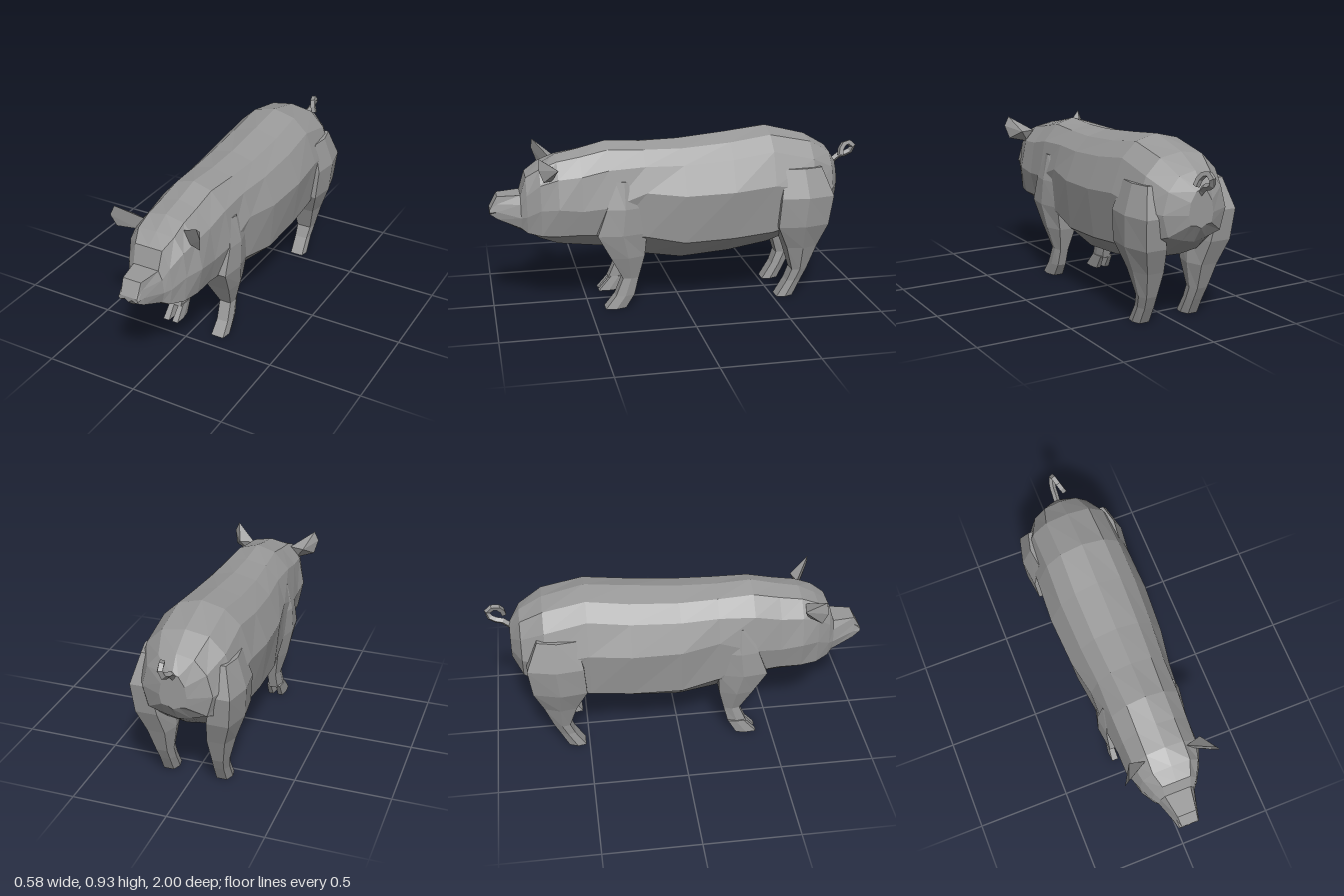
import * as THREE from 'three';
import { ConvexGeometry } from 'three/addons/geometries/ConvexGeometry.js';

const skin = new THREE.MeshStandardMaterial({ color: 0x999999, flatShading: true });
skin.name = 'grey skin';

// Skin over cross-sections; each ring runs clockwise seen from the first ring's side.
function loft(rings) {
  const n = rings[0].length;
  const index = [];
  for (let i = 0; i < rings.length - 1; i++) {
    for (let j = 0; j < n; j++) {
      const a = i * n + j, b = i * n + (j + 1) % n;
      index.push(a, b, a + n, b, b + n, a + n);
    }
  }
  const last = (rings.length - 1) * n;
  for (let j = 1; j < n - 1; j++) {
    index.push(0, j + 1, j, last, last + j, last + j + 1);
  }
  const geo = new THREE.BufferGeometry();
  geo.setAttribute('position', new THREE.Float32BufferAttribute(rings.flat(2), 3));
  geo.setIndex(index);
  const flat = geo.toNonIndexed();
  flat.computeVertexNormals();
  return flat;
}

function add(parent, name, geo) {
  const mesh = new THREE.Mesh(geo, skin);
  mesh.name = name;
  parent.add(mesh);
  return mesh;
}

// Half sections: z, top y, then x,y of back, flank, side and lower edge, then bottom y
const headSections = [
  [1.0, 0.55, 0.04, 0.55, 0.05, 0.545, 0.055, 0.535, 0.045, 0.525, 0.52],
  [0.96, 0.62, 0.05, 0.62, 0.056, 0.58, 0.065, 0.54, 0.06, 0.5, 0.485],
  [0.84, 0.625, 0.07, 0.625, 0.09, 0.58, 0.1, 0.51, 0.085, 0.45, 0.42],
  [0.81, 0.72, 0.075, 0.72, 0.115, 0.63, 0.125, 0.52, 0.11, 0.43, 0.405],
  [0.74, 0.77, 0.1, 0.765, 0.15, 0.69, 0.165, 0.56, 0.15, 0.42, 0.37],
  [0.65, 0.82, 0.1, 0.8, 0.17, 0.72, 0.2, 0.57, 0.17, 0.42, 0.34],
];
const bodySections = [
  [0.53, 0.845, 0.1, 0.82, 0.175, 0.73, 0.2, 0.555, 0.17, 0.42, 0.325],
  [0.39, 0.88, 0.1, 0.85, 0.18, 0.76, 0.215, 0.57, 0.18, 0.41, 0.31],
  [0.2, 0.87, 0.11, 0.845, 0.18, 0.77, 0.22, 0.64, 0.21, 0.4, 0.26],
  [0, 0.875, 0.12, 0.845, 0.195, 0.77, 0.255, 0.62, 0.23, 0.36, 0.23],
  [-0.26, 0.9, 0.125, 0.865, 0.205, 0.79, 0.27, 0.63, 0.235, 0.37, 0.25],
  [-0.48, 0.925, 0.12, 0.895, 0.2, 0.82, 0.26, 0.65, 0.23, 0.39, 0.285],
  [-0.7, 0.87, 0.12, 0.85, 0.2, 0.77, 0.25, 0.62, 0.22, 0.45, 0.36],
  [-0.82, 0.8, 0.09, 0.78, 0.15, 0.71, 0.18, 0.6, 0.15, 0.49, 0.45],
  [-0.875, 0.72, 0.03, 0.71, 0.06, 0.66, 0.07, 0.6, 0.06, 0.55, 0.53],
];

function bodyRing([z, top, x1, y1, x2, y2, x3, y3, x4, y4, bottom]) {
  const side = [[x1, y1], [x2, y2], [x3, y3], [x4, y4], [x4 * 0.45, bottom + 0.015]];
  return [
    [0, top, z],
    ...side.map(([x, y]) => [x, y, z]),
    [0, bottom, z],
    ...side.reverse().map(([x, y]) => [-x, y, z]),
  ];
}

// Leg sections from top to hoof: y, inner x, outer x, front z, back z
const frontLeg = [
  [0.7, 0.1, 0.2, 0.36, 0.27],
  [0.56, 0.1, 0.23, 0.41, 0.22],
  [0.42, 0.07, 0.235, 0.46, 0.2],
  [0.29, 0.055, 0.215, 0.39, 0.21],
  [0.165, 0.1, 0.18, 0.325, 0.24],
  [0.07, 0.105, 0.185, 0.365, 0.265],
  [0, 0.1, 0.188, 0.42, 0.31],
];
const hindLeg = [
  [0.73, 0.12, 0.24, -0.54, -0.74],
  [0.58, 0.12, 0.29, -0.51, -0.8],
  [0.42, 0.09, 0.28, -0.5, -0.78],
  [0.29, 0.08, 0.235, -0.56, -0.73],
  [0.155, 0.1, 0.2, -0.6, -0.685],
  [0.09, 0.1, 0.19, -0.575, -0.655],
  [0, 0.1, 0.19, -0.52, -0.61],
];

// Six-sided leg section, mirrored by s
function legRing([y, xi, xo, zf, zb], s) {
  const inset = (xo - xi) * 0.2, zm = (zf + zb) / 2;
  const ring = [
    [xi + inset, zb], [xo - inset, zb], [xo, zm],
    [xo - inset / 2, zf], [xi + inset / 2, zf], [xi, zm],
  ].map(([x, z]) => [s * x, y, z]);
  return s > 0 ? ring : ring.reverse();
}

export function createModel() {
  const model = new THREE.Group();
  model.name = 'pig';

  add(model, 'body', loft([...headSections, ...bodySections].map(bodyRing)));

  for (const s of [1, -1]) {
    const side = s > 0 ? 'left' : 'right';
    const legMesh = (name, sections) =>
      add(model, name, loft(sections.map((section) => legRing(section, s))));

    legMesh(side + 'HindLeg', hindLeg);
    if (s > 0) {
      legMesh('leftFrontLeg', frontLeg);
    } else {
      // The right front hoof is split into two toes
      legMesh('rightFrontLeg', frontLeg.slice(0, -1));
      for (const [xi, xo] of [[0.097, 0.14], [0.15, 0.195]]) {
        legMesh('toe', [[0.08, xi + 0.005, xo - 0.005, 0.35, 0.265], [0, xi, xo, 0.42, 0.31]]);
      }
    }

    // Leaf-shaped ear with a ridge behind
    const ear = [
      [0.11, 0.775, 0.67], [0.23, 0.853, 0.75], [0.253, 0.8, 0.755],
      [0.235, 0.73, 0.73], [0.145, 0.712, 0.68], [0.19, 0.775, 0.65],
    ].map(([x, y, z]) => new THREE.Vector3(s * x, y, z));
    add(model, side + 'Ear', new ConvexGeometry(ear));
  }

  // Curled tail
  const tailPath = new THREE.CatmullRomCurve3([
    [0, 0.69, -0.855], [0, 0.735, -0.905], [0.005, 0.75, -0.96], [0.015, 0.785, -0.983],
    [0.02, 0.812, -0.945], [0.035, 0.785, -0.91], [0.05, 0.745, -0.9],
  ].map((p) => new THREE.Vector3(...p)));
  const tail = new THREE.TubeGeometry(tailPath, 9, 0.017, 4);
  add(model, 'tail', tail);

  return model;
}
